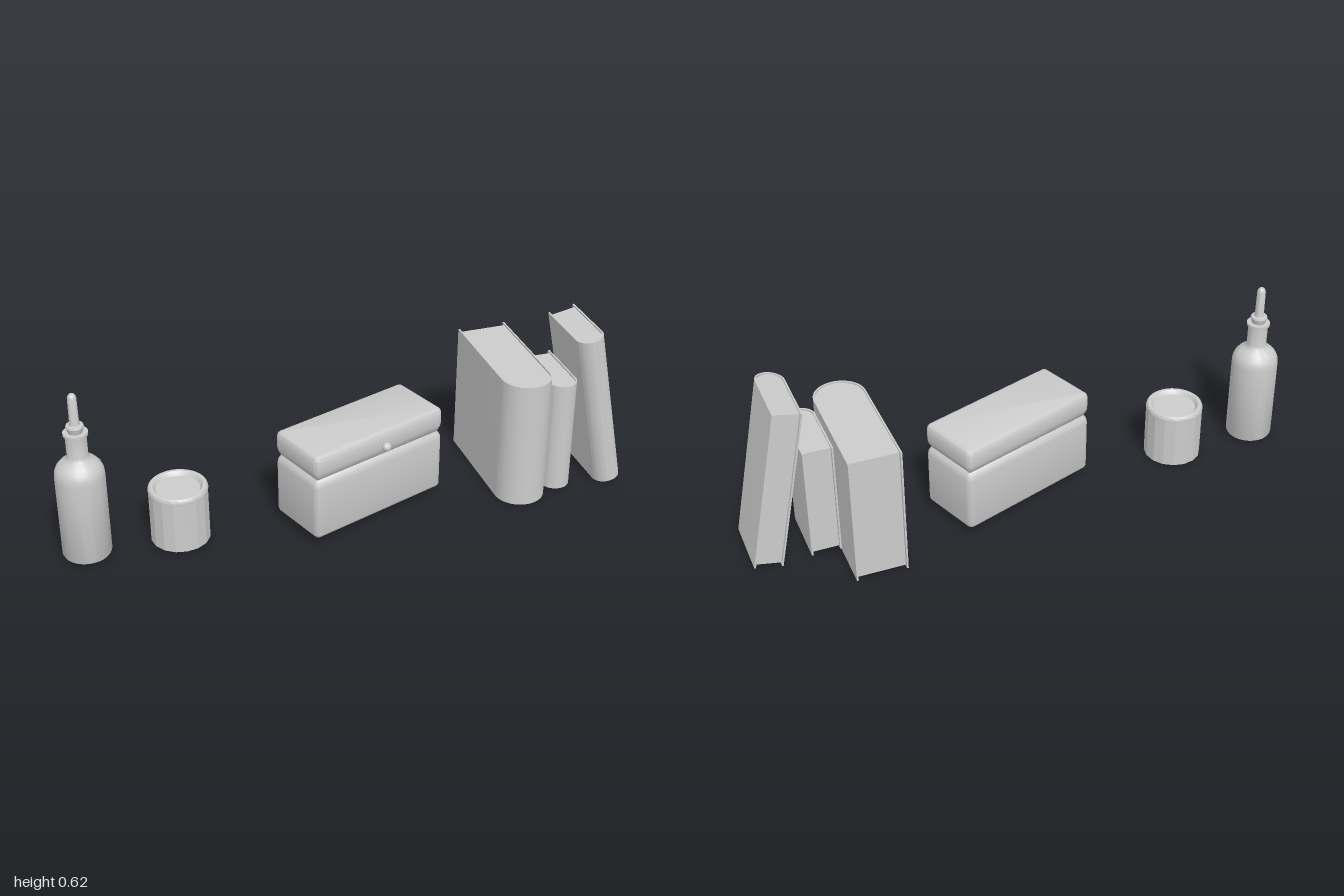
import * as THREE from 'three';
import { toCreasedNormals, mergeVertices } from 'three/addons/utils/BufferGeometryUtils.js';

const grey = new THREE.MeshStandardMaterial({ color: 0xcccccc, side: THREE.DoubleSide });
const faceted = new THREE.MeshStandardMaterial({ color: 0xcccccc, flatShading: true });

function add(parent, name, geometry, x = 0, y = 0, z = 0, material = grey) {
  const mesh = new THREE.Mesh(geometry, material);
  mesh.name = name;
  mesh.position.set(x, y, z);
  parent.add(mesh);
  return mesh;
}

function group(parent, name, x, y, z) {
  const g = new THREE.Group();
  g.name = name;
  g.position.set(x, y, z);
  parent.add(g);
  return g;
}

// Turned part from [radius, height] pairs, with hard edges kept sharp
function lathe(points, segments = 40) {
  const g = new THREE.LatheGeometry(points.map(p => new THREE.Vector2(...p)), segments);
  return toCreasedNormals(g, 0.6);
}

// U-shaped plan (round spine towards +z), raised along y
function upright(shape, height) {
  const g = new THREE.ExtrudeGeometry(shape, { depth: height, bevelEnabled: false, curveSegments: 24 });
  g.rotateX(-Math.PI / 2).translate(0, -height / 2, 0);
  return toCreasedNormals(g, 0.5);
}

function addBook(parent, name, w, h, d) {
  const t = 0.006, r = w / 2, back = d / 2, arcY = r - d / 2;
  const cover = new THREE.Shape();
  cover.moveTo(-r, back);
  cover.lineTo(-r, arcY);
  cover.absarc(0, arcY, r, Math.PI, 2 * Math.PI, false);
  cover.lineTo(r, back);
  cover.lineTo(r - t, back);
  cover.lineTo(r - t, arcY);
  cover.absarc(0, arcY, r - t, 2 * Math.PI, Math.PI, true);
  cover.lineTo(t - r, back);
  cover.closePath();
  add(parent, name + 'Cover', upright(cover, h));

  const pages = new THREE.Shape();
  pages.moveTo(t - r, back - 0.012);
  pages.lineTo(t - r, arcY);
  pages.absarc(0, arcY, r - t, Math.PI, 2 * Math.PI, false);
  pages.lineTo(r - t, back - 0.012);
  pages.closePath();
  add(parent, name + 'Pages', upright(pages, h - 0.012));
}

// Stack of rounded rectangles; rows are [height, inset]
function roundedStack(w, d, radius, rows) {
  const pos = [], index = [], steps = 5, n = 4 * (steps + 1);
  for (const [y, inset] of rows) {
    for (let c = 0; c < 4; c++) {
      const sx = c === 0 || c === 3 ? 1 : -1, sz = c < 2 ? 1 : -1;
      for (let i = 0; i <= steps; i++) {
        const a = (c + i / steps) * Math.PI / 2, r = radius - inset;
        pos.push(sx * (w / 2 - radius) + r * Math.cos(a), y, sz * (d / 2 - radius) + r * Math.sin(a));
      }
    }
  }
  for (let k = 0; k < rows.length - 1; k++) {
    for (let i = 0; i < n; i++) {
      const a = k * n + i, b = k * n + (i + 1) % n;
      index.push(a, a + n, b, b, a + n, b + n);
    }
  }
  const last = (rows.length - 1) * n;
  for (let i = 1; i < n - 1; i++) {
    index.push(0, i, i + 1, last, last + i + 1, last + i);
  }
  const g = new THREE.BufferGeometry();
  g.setAttribute('position', new THREE.Float32BufferAttribute(pos, 3));
  g.setIndex(index);
  return toCreasedNormals(mergeVertices(g), 0.7);
}

export function createModel() {
  const model = new THREE.Group();
  model.name = 'shelfSet';

  // Bottle with a slim pourer
  const bottle = group(model, 'bottle', -0.917, 0, 0.035);
  add(bottle, 'bottleBody', lathe([
    [0, 0.01], [0.074, 0.01], [0.08, 0.013], [0.083, 0.02], [0.083, 0.315], [0.081, 0.333],
    [0.074, 0.35], [0.062, 0.364], [0.048, 0.374], [0.039, 0.382], [0.035, 0.394],
    [0.035, 0.466], [0.041, 0.468], [0.041, 0.478], [0, 0.478]]));
  add(bottle, 'pourer', lathe([
    [0, 0.478], [0.024, 0.478], [0.03, 0.498], [0.028, 0.504], [0.018, 0.506], [0.016, 0.515],
    [0.015, 0.603], [0.012, 0.612], [0.007, 0.617], [0, 0.617]], 24));

  // Faceted cup with a round rim and filled top
  const cup = group(model, 'cup', -0.597, 0, 0.035);
  add(cup, 'cupBody', new THREE.CylinderGeometry(0.102, 0.102, 0.19, 16), 0, 0.1, 0, faceted);
  add(cup, 'cupRim', lathe([
    [0.101, 0.19], [0.102, 0.2], [0.099, 0.208], [0.095, 0.211], [0.085, 0.211],
    [0.081, 0.207], [0.075, 0.197], [0, 0.197]]));

  // Turned lidded box with a grooved seam and a front knob
  const box = group(model, 'box', 0.046, 0, 0.04);
  box.rotation.y = 0.34;
  add(box, 'boxBase', roundedStack(0.55, 0.236, 0.02, [
    [0.025, 0.016], [0.028, 0.008], [0.033, 0.003], [0.041, 0], [0.225, 0],
    [0.237, 0.002], [0.246, 0.007], [0.254, 0.014]]));
  add(box, 'boxLid', roundedStack(0.55, 0.236, 0.02, [
    [0.254, 0.014], [0.262, 0.009], [0.274, 0.003], [0.285, 0], [0.33, 0],
    [0.339, 0.003], [0.344, 0.008], [0.347, 0.016]]));
  add(box, 'knob', new THREE.SphereGeometry(0.016, 20, 14), 0.008, 0.298, 0.134);
  const stem = add(box, 'knobStem', new THREE.CylinderGeometry(0.007, 0.007, 0.02, 12), 0.008, 0.298, 0.12);
  stem.rotation.x = Math.PI / 2;

  // Three books, the last leaning on the others
  addBook(group(model, 'largeBook', 0.607, 0.24, -0.005), 'largeBook', 0.179, 0.471, 0.48);
  addBook(group(model, 'smallBook', 0.749, 0.222, 0.058), 'smallBook', 0.104, 0.415, 0.266);
  const leaning = group(model, 'leaningBook', 0.891, 0.301, 0.061);
  leaning.rotation.z = 0.195;
  addBook(leaning, 'leaningBook', 0.1, 0.592, 0.27);

  return model;
}
